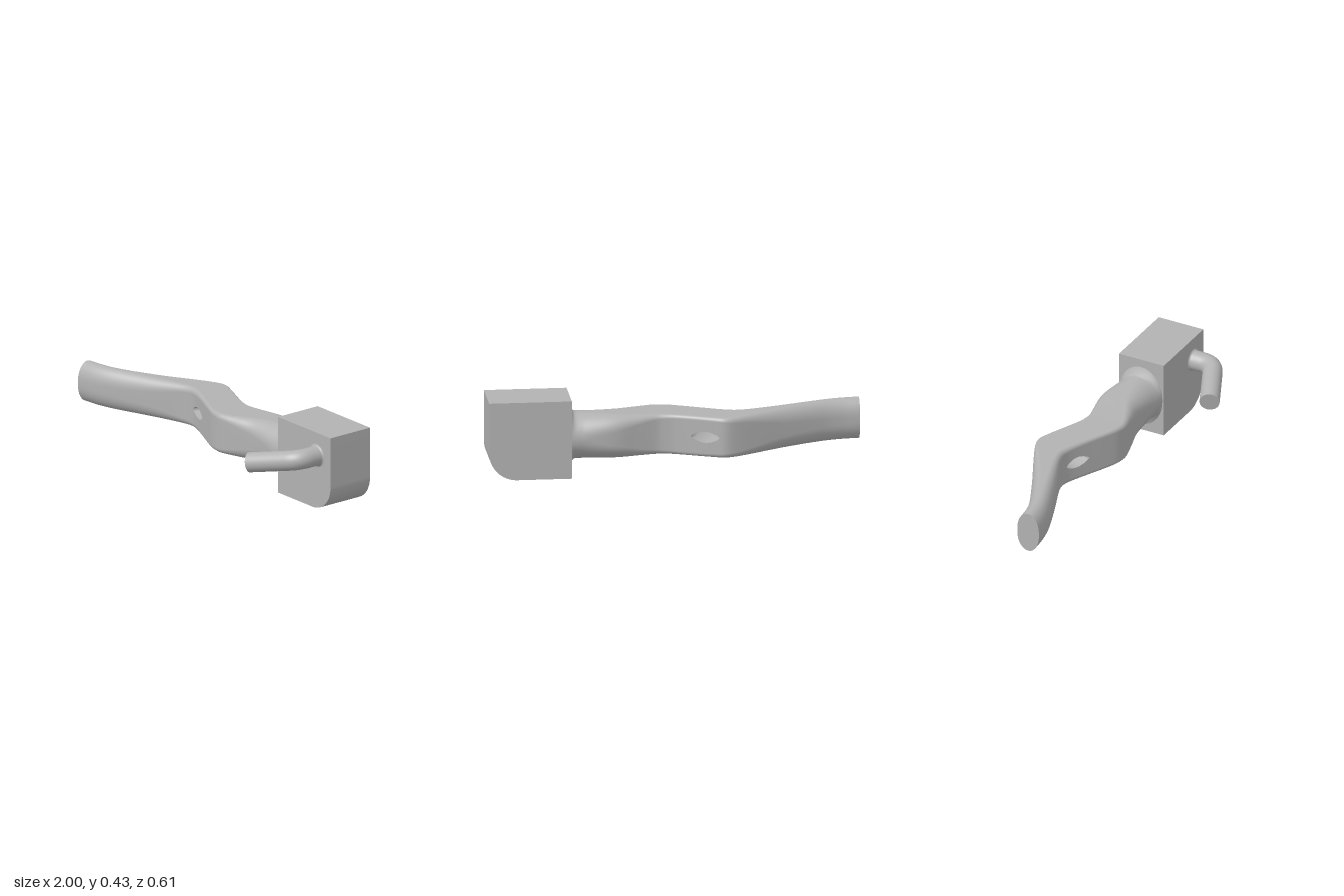
import * as THREE from 'three';
import { mergeVertices, toCreasedNormals } from 'three/addons/utils/BufferGeometryUtils.js';

const MID = 0.208;              // height of the grip's centre line
const X0 = -1, STEP = 0.0125, COUNT = 125;
const HOLE = { front: 56, back: 62, length: 12, half: 0.03 };

// Smooth curve through [x, value] keys
function keyed(keys) {
  const slope = (i) => {
    const a = keys[Math.max(i - 1, 0)], b = keys[Math.min(i + 1, keys.length - 1)];
    return (b[1] - a[1]) / (b[0] - a[0]);
  };
  return (x) => {
    let i = 0;
    while (i < keys.length - 2 && x > keys[i + 1][0]) i++;
    const [xa, a] = keys[i], [xb, b] = keys[i + 1];
    const d = xb - xa, t = (x - xa) / d, t2 = t * t, t3 = t2 * t;
    return a * (2 * t3 - 3 * t2 + 1) + slope(i) * d * (t3 - 2 * t2 + t)
      + b * (3 * t2 - 2 * t3) + slope(i + 1) * d * (t3 - t2);
  };
}

// Grip outline: front and back depth, half height, corner radius in z and y
const frontZ = keyed([[-1, 0.105], [-0.9, 0.093], [-0.8, 0.067], [-0.6, -0.01], [-0.4, -0.095],
  [-0.33, -0.112], [-0.28, -0.105], [-0.2, -0.075], [0, 0.015], [0.05, 0.03], [0.1, 0.035],
  [0.2, 0.015], [0.3, -0.007], [0.4, -0.01], [0.57, 0]]);
const backZ = keyed([[-1, -0.025], [-0.9, -0.037], [-0.8, -0.065], [-0.6, -0.155], [-0.4, -0.253],
  [-0.3, -0.297], [-0.25, -0.305], [-0.2, -0.288], [0, -0.205], [0.05, -0.194], [0.1, -0.193],
  [0.2, -0.22], [0.3, -0.25], [0.38, -0.26], [0.57, -0.258]]);
const halfY = keyed([[-1, 0.112], [-0.4, 0.11], [0.1, 0.11], [0.3, 0.118], [0.5, 0.126],
  [0.54, 0.129], [0.55, 0.14], [0.5625, 0.18]]);
const cornerZ = keyed([[-1, 0.065], [-0.6, 0.058], [-0.3, 0.026], [0.08, 0.024], [0.3, 0.075], [0.5, 0.13], [0.57, 0.13]]);
const cornerY = keyed([[-1, 0.1], [-0.6, 0.075], [-0.3, 0.028], [0.08, 0.026], [0.3, 0.075], [0.5, 0.126], [0.57, 0.18]]);

const lens = (i, start) => {
  const t = (i - start) / HOLE.length;
  return t <= 0 || t >= 1 ? 0 : HOLE.half * Math.pow(Math.sin(Math.PI * t), 0.8);
};

// Upper half of a cross-section, from the front midpoint over the top to the back midpoint
function halfSection(i) {
  const x = X0 + i * STEP, f = frontZ(x), b = backZ(x), h = halfY(x);
  const rz = Math.min(cornerZ(x), (f - b) / 2), ry = Math.min(cornerY(x), h);
  const pts = [[f, lens(i, HOLE.front)]];
  for (let k = 0; k <= 10; k++) {
    const a = (k / 10) * Math.PI / 2;
    pts.push([f - rz + rz * Math.cos(a), h - ry + ry * Math.sin(a)]);
  }
  for (let k = 0; k <= 10; k++) {
    const a = (k / 10) * Math.PI / 2;
    pts.push([b + rz - rz * Math.sin(a), h - ry + ry * Math.cos(a)]);
  }
  pts.push([b, lens(i, HOLE.back)]);
  return pts.map(([z, y]) => [x, y, z]);
}

// Skin between rows of points, mirrored above and below the centre line
function mirroredSkin(rows, flip) {
  const pos = [], index = [], n = rows[0].length;
  for (const s of [1, -1]) {
    const base = pos.length / 3;
    rows.forEach((row) => row.forEach(([x, y, z]) => pos.push(x, MID + s * y, z)));
    for (let i = 0; i < rows.length - 1; i++) {
      for (let j = 0; j < n - 1; j++) {
        const a = base + i * n + j, b = a + n;
        if ((s > 0) !== flip) index.push(a, b, b + 1, a, b + 1, a + 1);
        else index.push(a, b + 1, b, a, a + 1, b + 1);
      }
    }
  }
  let g = new THREE.BufferGeometry();
  g.setAttribute('position', new THREE.Float32BufferAttribute(pos, 3));
  g.setIndex(index);
  g = mergeVertices(g, 1e-5);
  g.computeVertexNormals();
  return g;
}

export function createModel() {
  const group = new THREE.Group();
  const grey = new THREE.MeshStandardMaterial({ color: 0xb2b2b2 });
  grey.name = 'plain grey';
  const add = (name, geometry) => {
    const mesh = new THREE.Mesh(geometry, grey);
    mesh.name = name;
    group.add(mesh);
    return mesh;
  };

  // Wavy grip
  const rows = [];
  for (let i = 0; i <= COUNT; i++) rows.push(halfSection(i));
  add('grip', mirroredSkin(rows, false));

  // Walls of the slanted hole through the grip
  const walls = [];
  for (let k = 0; k <= HOLE.length; k++) {
    walls.push([rows[HOLE.front + k][0], rows[HOLE.back + k].at(-1)]);
  }
  add('gripHole', mirroredSkin(walls, true));

  // Flat end of the grip
  const end = rows[0].map(([, y, z]) => new THREE.Vector2(-z, MID + y));
  const lower = rows[0].slice(1, -1).reverse().map(([, y, z]) => new THREE.Vector2(-z, MID - y));
  const cap = add('gripEnd', new THREE.ShapeGeometry(new THREE.Shape([...end, ...lower])));
  cap.rotation.y = -Math.PI / 2;
  cap.scale.x = -1;
  cap.geometry.scale(-1, 1, 1);
  cap.geometry.setIndex([...cap.geometry.index.array].reverse());
  cap.geometry.computeVertexNormals();
  cap.scale.x = 1;
  cap.position.x = X0;

  // Head block with one rounded lower corner
  const s = new THREE.Shape();
  s.moveTo(0.56, 0);
  s.lineTo(0.85, 0);
  s.absarc(0.85, 0.15, 0.15, -Math.PI / 2, 0, false);
  s.lineTo(1, 0.425);
  s.lineTo(0.56, 0.425);
  s.closePath();
  const block = new THREE.ExtrudeGeometry(s, { depth: 0.27, bevelEnabled: false, curveSegments: 24 });
  block.translate(0, 0, -0.262);
  add('headBlock', toCreasedNormals(block, 0.5));

  // Bent lever rod
  const R = 0.0535;
  const base = new THREE.Vector3(0.885, 0.298, -0.02);
  const corner = new THREE.Vector3(0.885, 0.298, 0.13);
  const tip = new THREE.Vector3(0.62, 0.241, 0.252);
  const bendIn = corner.clone().lerp(base, 0.4);
  const bendOut = corner.clone().lerp(tip, 0.2);
  const path = new THREE.CurvePath();
  path.add(new THREE.LineCurve3(base, bendIn));
  path.add(new THREE.QuadraticBezierCurve3(bendIn, corner, bendOut));
  path.add(new THREE.LineCurve3(bendOut, tip));
  add('leverRod', new THREE.TubeGeometry(path, 60, R, 32));
  const rodEnd = add('leverRodEnd', new THREE.CircleGeometry(R, 32));
  rodEnd.position.copy(tip);
  rodEnd.quaternion.setFromUnitVectors(new THREE.Vector3(0, 0, 1), tip.clone().sub(corner).normalize());

  // Small fillet where the rod meets the block
  const profile = [];
  for (let k = 0; k <= 6; k++) {
    const a = (k / 6) * Math.PI / 2;
    profile.push(new THREE.Vector2(R + 0.012 * (1 - Math.sin(a)), 0.012 * (1 - Math.cos(a))));
  }
  const fillet = add('leverFillet', new THREE.LatheGeometry(profile, 32));
  fillet.rotation.x = Math.PI / 2;
  fillet.position.set(0.885, 0.298, 0.008);

  return group;
}
